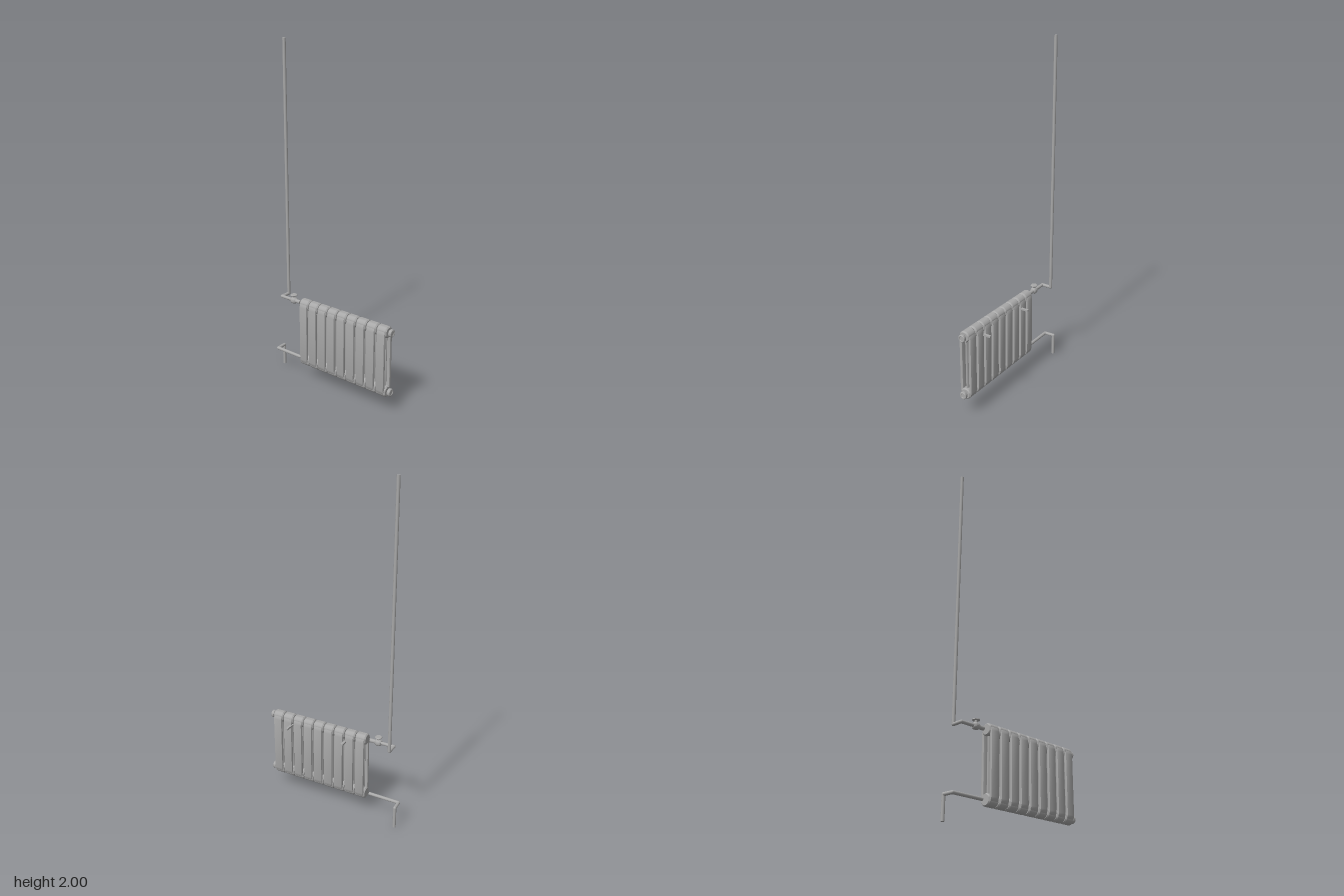
import * as THREE from 'three';
import { toCreasedNormals } from 'three/addons/utils/BufferGeometryUtils.js';

const TOP = 0.487, LOW = 0.128, MID_Z = 0.021; // header heights and depth centre
const SECTIONS = 9, PITCH = 0.0697, FIRST_X = -0.182;

export function createModel() {
  const grey = new THREE.MeshStandardMaterial({ color: 0xa8a8a8 });
  grey.name = 'grey metal';
  const model = new THREE.Group();
  model.name = 'radiator';

  const add = (parent, name, geometry, x = 0, y = 0, z = 0) => {
    const mesh = new THREE.Mesh(geometry, grey);
    mesh.name = name;
    mesh.position.set(x, y, z);
    parent.add(mesh);
    return mesh;
  };
  const group = (name, x = 0, y = 0, z = 0) => {
    const g = new THREE.Group();
    g.name = name;
    g.position.set(x, y, z);
    model.add(g);
    return g;
  };
  // Solid of revolution, from [radius, height] pairs
  const lathe = (points, sides = 20) => toCreasedNormals(
    new THREE.LatheGeometry(points.map(([r, h]) => new THREE.Vector2(r, h)), sides), 0.6);
  const alongX = (geometry) => geometry.rotateZ(-Math.PI / 2);

  // Header barrel with chamfered ends
  const header = alongX(lathe([
    [0, -0.033], [0.027, -0.033], [0.033, -0.026], [0.033, 0.026], [0.027, 0.033], [0, 0.033]], 24));

  // Outer column: side outline in (z, y) about the depth centre, extruded across x
  const outline = [[0.016, 0.511], [0.026, 0.506], [0.035, 0.49], [0.039, 0.475],
    [0.039, 0.14], [0.035, 0.125], [0.026, 0.109], [0.016, 0.104], [0.021, 0.15], [0.021, 0.465]];
  const bevel = 0.005;
  const shape = new THREE.Shape(outline.map(([z, y]) => new THREE.Vector2(z, y)));
  const column = new THREE.ExtrudeGeometry(shape, {
    depth: 0.053 - 2 * bevel, steps: 1, bevelEnabled: true, bevelThickness: bevel,
    bevelSize: bevel, bevelOffset: -bevel, bevelSegments: 2 });
  column.translate(0, 0, -(0.053 - 2 * bevel) / 2).rotateY(-Math.PI / 2);
  const frontColumn = toCreasedNormals(column, 0.7);
  const backColumn = frontColumn.clone().rotateY(Math.PI);

  // Flattened water tube between the outer columns
  const tube = new THREE.CylinderGeometry(0.01, 0.01, TOP - LOW, 16, 1, true).scale(2, 1, 1);

  for (let i = 0; i < SECTIONS; i++) {
    const section = group('section' + (i + 1), FIRST_X + i * PITCH, 0, MID_Z);
    add(section, 'topHeader', header, 0, TOP);
    add(section, 'bottomHeader', header, 0, LOW);
    add(section, 'frontColumn', frontColumn);
    add(section, 'backColumn', backColumn);
    add(section, 'waterTube', tube, 0, (TOP + LOW) / 2);
  }

  // Nipples running through the headers
  const nipple = alongX(new THREE.CylinderGeometry(0.018, 0.018, (SECTIONS - 1) * PITCH, 16));
  // End plugs
  const plug = alongX(lathe([
    [0, -0.009], [0.02, -0.009], [0.022, -0.006], [0.022, 0.006], [0.019, 0.009],
    [0.014, 0.009], [0.013, 0.006], [0, 0.006]]));
  for (const [level, y] of [['top', TOP], ['bottom', LOW]]) {
    add(model, level + 'Nipple', nipple, FIRST_X + (SECTIONS - 1) * PITCH / 2, y, MID_Z);
    add(model, level + 'Plug', plug, 0.424, y, MID_Z);
  }

  // Pipe run: straight lengths with rounded elbows
  const pipe = (name, radius, points) => {
    const run = group(name);
    const p = points.map((c) => new THREE.Vector3(...c));
    for (let i = 0; i < p.length - 1; i++) {
      const dir = p[i + 1].clone().sub(p[i]);
      const length = dir.length();
      const piece = add(run, 'straight', new THREE.CylinderGeometry(radius, radius, length, 16));
      piece.position.copy(p[i]).addScaledVector(dir, 0.5);
      piece.quaternion.setFromUnitVectors(new THREE.Vector3(0, 1, 0), dir.normalize());
      if (i > 0) add(run, 'elbow', new THREE.SphereGeometry(radius, 16, 12), ...p[i].toArray());
    }
  };
  pipe('supplyPipe', 0.0095, [
    [-0.233, TOP, MID_Z], [-0.38, TOP, MID_Z], [-0.38, TOP, -0.038], [-0.38, 2, -0.038]]);
  pipe('returnPipe', 0.0095, [
    [-0.233, LOW, MID_Z], [-0.422, LOW, MID_Z], [-0.426, LOW, -0.038], [-0.426, 0, -0.038]]);

  // Valve: body on the supply pipe, stem and hand wheel
  const valve = group('valve', -0.284, TOP, MID_Z);
  add(valve, 'body', alongX(lathe([
    [0, -0.019], [0.013, -0.019], [0.016, -0.015], [0.02, -0.008], [0.02, 0.008],
    [0.016, 0.015], [0.013, 0.019], [0, 0.019]], 16)));
  add(valve, 'sleeve', alongX(new THREE.CylinderGeometry(0.0115, 0.0115, 0.05, 16)), 0.026);
  add(valve, 'stem', new THREE.CylinderGeometry(0.008, 0.01, 0.03, 12), 0, 0.018);
  add(valve, 'handWheel', lathe([
    [0, 0.028], [0.018, 0.028], [0.021, 0.031], [0.021, 0.034], [0.018, 0.037], [0, 0.037]]));

  // Wall brackets under the top header
  for (const [side, x] of [['right', -0.09], ['left', 0.281]]) {
    add(model, side + 'Bracket', new THREE.BoxGeometry(0.014, 0.01, 0.084), x, 0.456, -0.021);
  }

  return model;
}
